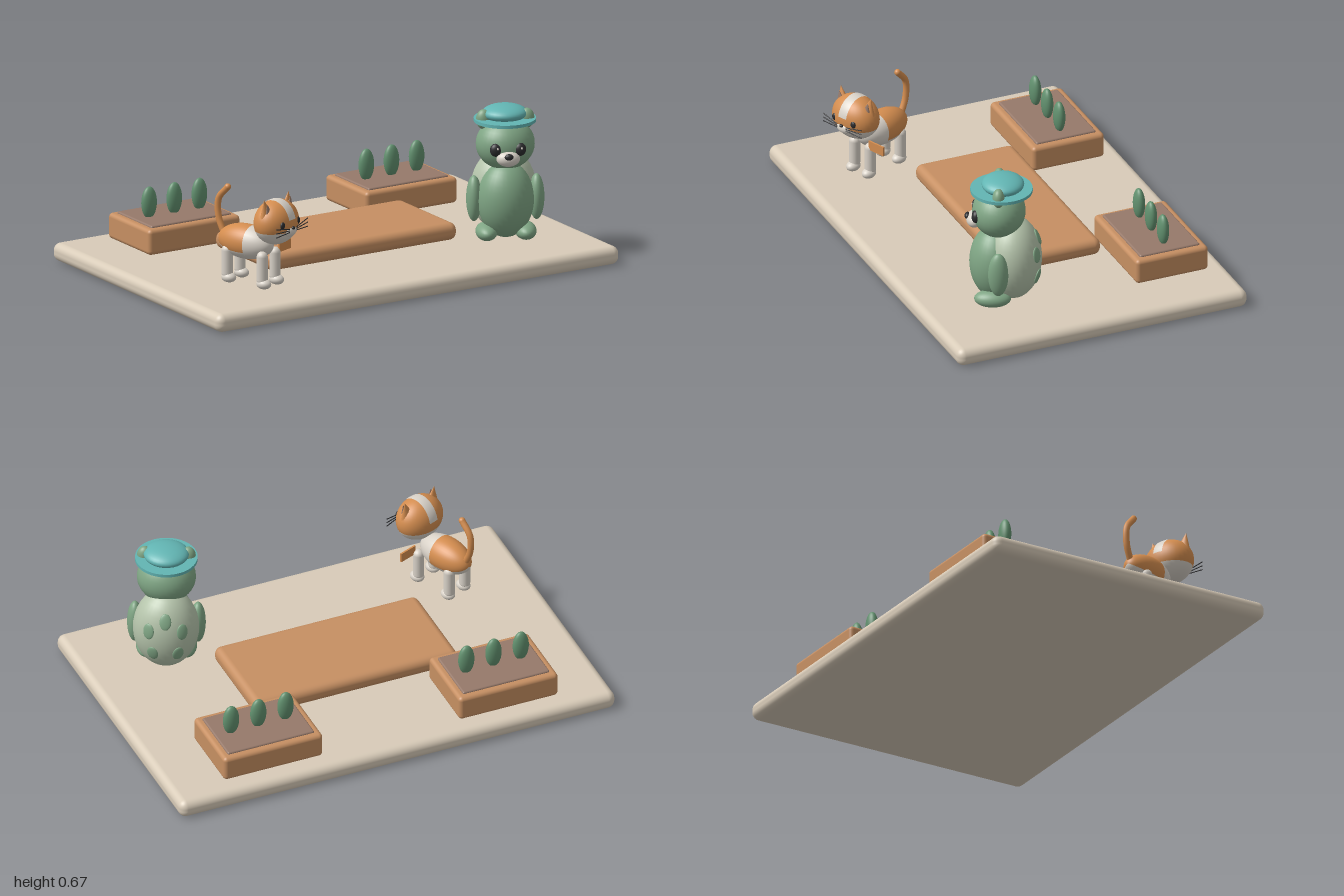
import * as THREE from 'three';
import { RoundedBoxGeometry } from 'three/addons/geometries/RoundedBoxGeometry.js';

const colours = {
  stone: 0xd8cbb8, wood: 0xc68f62, soil: 0x96796a, leaf: 0x62916f, sage: 0x7fa584,
  paleSage: 0xb5c4ab, teal: 0x62b5b3, orange: 0xd48d4f, cream: 0xd9d2c8, dark: 0x2c2c2e,
};
const mats = {};
for (const [name, color] of Object.entries(colours)) {
  mats[name] = new THREE.MeshStandardMaterial({ color });
  mats[name].name = name;
}

function add(parent, name, geometry, mat, [x, y, z]) {
  const mesh = new THREE.Mesh(geometry, mats[mat]);
  mesh.name = name;
  mesh.position.set(x, y, z);
  parent.add(mesh);
  return mesh;
}

const ball = (parent, name, mat, pos, [rx, ry, rz]) =>
  add(parent, name, new THREE.SphereGeometry(1, 32, 20).scale(rx, ry, rz), mat, pos);

const block = (parent, name, mat, pos, [w, h, d], r) =>
  add(parent, name, new RoundedBoxGeometry(w, h, d, 4, r), mat, pos);

function rod(parent, name, mat, a, b, r) {
  const start = new THREE.Vector3(...a), end = new THREE.Vector3(...b);
  const dir = end.clone().sub(start);
  const mesh = add(parent, name, new THREE.CylinderGeometry(r, r, dir.length(), 8), mat,
    start.add(end).multiplyScalar(0.5).toArray());
  mesh.quaternion.setFromUnitVectors(new THREE.Vector3(0, 1, 0), dir.normalize());
  return mesh;
}

function makePlanter(x) {
  const g = new THREE.Group();
  g.name = 'planter';
  g.position.set(x, 0, -0.42);
  block(g, 'planterBox', 'wood', [0, 0.138, 0], [0.455, 0.112, 0.332], 0.018);
  block(g, 'planterSoil', 'soil', [0, 0.187, 0], [0.398, 0.03, 0.275], 0.008);
  for (const px of [-0.125, 0, 0.125]) ball(g, 'plant', 'leaf', [px, 0.262, 0], [0.036, 0.07, 0.024]);
  return g;
}

function makeBear() {
  const g = new THREE.Group();
  g.name = 'bear';
  g.position.set(0.64, 0, 0.32);
  g.rotation.y = THREE.MathUtils.degToRad(-25);

  ball(g, 'body', 'sage', [0, 0.265, 0.02], [0.12, 0.165, 0.11]);
  const shellPos = [0, 0.285, -0.055], shellSize = [0.14, 0.185, 0.122];
  ball(g, 'shell', 'paleSage', shellPos, shellSize);

  // Oval spots lying on the shell surface: [turn, height angle]
  for (const [turn, lift] of [[0, 0.55], [0.55, 0.25], [-0.55, 0.25], [0.42, -0.35], [-0.42, -0.35]]) {
    const d = new THREE.Vector3(Math.sin(turn) * Math.cos(lift), Math.sin(lift), -Math.cos(turn) * Math.cos(lift));
    const size = new THREE.Vector3(...shellSize);
    const pos = d.clone().multiply(size).add(new THREE.Vector3(...shellPos));
    const spot = ball(g, 'shellSpot', 'sage', pos.toArray(), [0.025, 0.036, 0.008]);
    spot.quaternion.setFromUnitVectors(new THREE.Vector3(0, 0, -1), d.divide(size).normalize());
  }

  // Head and face
  ball(g, 'head', 'sage', [0, 0.505, 0.005], [0.125, 0.112, 0.113]);
  ball(g, 'muzzle', 'cream', [0, 0.465, 0.108], [0.05, 0.034, 0.035]);
  ball(g, 'nose', 'dark', [0, 0.48, 0.138], [0.019, 0.014, 0.012]);
  for (const s of [-1, 1]) {
    ball(g, 'eye', 'dark', [s * 0.051, 0.503, 0.1], [0.026, 0.029, 0.02]);
    ball(g, 'eyeGlint', 'cream', [s * 0.051 + 0.006, 0.511, 0.118], [0.005, 0.005, 0.003]);
    ball(g, 'ear', 'sage', [s * 0.092, 0.613, 0.005], [0.032, 0.043, 0.026]);
    ball(g, 'arm', 'sage', [s * 0.133, 0.268, 0.005], [0.033, 0.1, 0.043]);
    ball(g, 'foot', 'sage', [s * 0.083, 0.128, 0.03], [0.046, 0.037, 0.078]);
  }

  // Hat
  add(g, 'hatBrim', new THREE.CylinderGeometry(0.132, 0.132, 0.014, 40), 'teal', [0, 0.608, -0.006]);
  ball(g, 'hatCrown', 'teal', [0, 0.634, -0.012], [0.096, 0.037, 0.09]);
  return g;
}

function makeCat() {
  const g = new THREE.Group();
  g.name = 'cat';
  g.position.set(-0.635, 0, 0.3);
  g.rotation.y = THREE.MathUtils.degToRad(22);

  // Body: orange saddle over the rear, cream chest and belly (sphere poles along z)
  const bodyPart = (name, mat, p0, pl, t0, tl) => add(g, name,
    new THREE.SphereGeometry(1, 28, 18, p0, pl, t0, tl).rotateX(Math.PI / 2).scale(0.073, 0.075, 0.135),
    mat, [0, 0.265, 0]);
  const split = 1.35, tau = Math.PI * 2;
  bodyPart('chest', 'cream', 0, tau, 0, split);
  bodyPart('saddle', 'orange', Math.PI * 0.85, Math.PI * 1.3, split, Math.PI - split);
  bodyPart('belly', 'cream', Math.PI * 0.15, Math.PI * 0.7, split, Math.PI - split);

  for (const s of [-1, 1]) for (const z of [0.117, -0.065]) {
    add(g, 'leg', new THREE.CapsuleGeometry(0.024, 0.1, 6, 16), 'cream', [s * 0.046, 0.175, z]);
    ball(g, 'paw', 'cream', [s * 0.046, 0.108, z + 0.008], [0.027, 0.022, 0.034]);
  }

  const tailCurve = new THREE.CatmullRomCurve3([[0.27, -0.11], [0.35, -0.143], [0.43, -0.142], [0.487, -0.095]]
    .map(([y, z]) => new THREE.Vector3(0, y, z)));
  add(g, 'tail', new THREE.TubeGeometry(tailCurve, 24, 0.014, 12), 'orange', [0, 0, 0]);
  ball(g, 'tailTip', 'orange', [0, 0.487, -0.095], [0.014, 0.014, 0.014]);
  add(g, 'sideFlap', new THREE.BoxGeometry(0.085, 0.042, 0.008), 'orange', [0.095, 0.247, 0.131]);

  // Head: orange cap, cream jaw and a cream stripe over the crown
  const head = new THREE.Group();
  head.name = 'head';
  head.position.set(0, 0.378, 0.157);
  g.add(head);
  const size = [0.113, 0.097, 0.086], jaw = 1.9, o = [0, 0, 0];
  add(head, 'headCap', new THREE.SphereGeometry(1, 32, 18, 0, tau, 0, jaw).scale(...size), 'orange', o);
  add(head, 'jaw', new THREE.SphereGeometry(1, 32, 10, 0, tau, jaw, Math.PI - jaw).scale(...size), 'cream', o);
  add(head, 'crownStripe', new THREE.SphereGeometry(1.015, 28, 4, Math.PI * 0.57, Math.PI * 0.88, Math.PI / 2 - 0.2, 0.4)
    .rotateZ(Math.PI / 2).scale(...size), 'cream', o);
  ball(head, 'muzzle', 'cream', [0, -0.03, 0.07], [0.04, 0.024, 0.022]);
  ball(head, 'nose', 'dark', [0, -0.014, 0.089], [0.009, 0.007, 0.007]);
  for (const s of [-1, 1]) {
    ball(head, 'eye', 'dark', [s * 0.054, 0.004, 0.072], [0.013, 0.016, 0.009]);
    const ear = add(head, 'ear', new THREE.ConeGeometry(0.036, 0.08, 20).scale(1, 1, 0.6), 'orange', [s * 0.08, 0.074, 0]);
    ear.rotation.z = -s * 0.2;
    const inner = add(head, 'innerEar', new THREE.ConeGeometry(0.021, 0.05, 16).scale(1, 1, 0.5), 'soil', [s * 0.079, 0.071, 0.014]);
    inner.rotation.z = -s * 0.2;
    for (const k of [-1, 0, 1]) {
      rod(head, 'whisker', 'dark', [s * 0.025, -0.022 + k * 0.007, 0.088], [s * 0.112, -0.016 + k * 0.018, 0.082], 0.0022);
    }
  }
  return g;
}

export function createModel() {
  const model = new THREE.Group();
  model.name = 'gardenScene';
  block(model, 'base', 'stone', [0, 0.04, 0], [2, 0.08, 1.335], 0.034);
  block(model, 'deck', 'wood', [0, 0.119, 0], [0.935, 0.075, 0.455], 0.032);
  model.add(makePlanter(-0.541), makePlanter(0.539), makeBear(), makeCat());
  return model;
}
